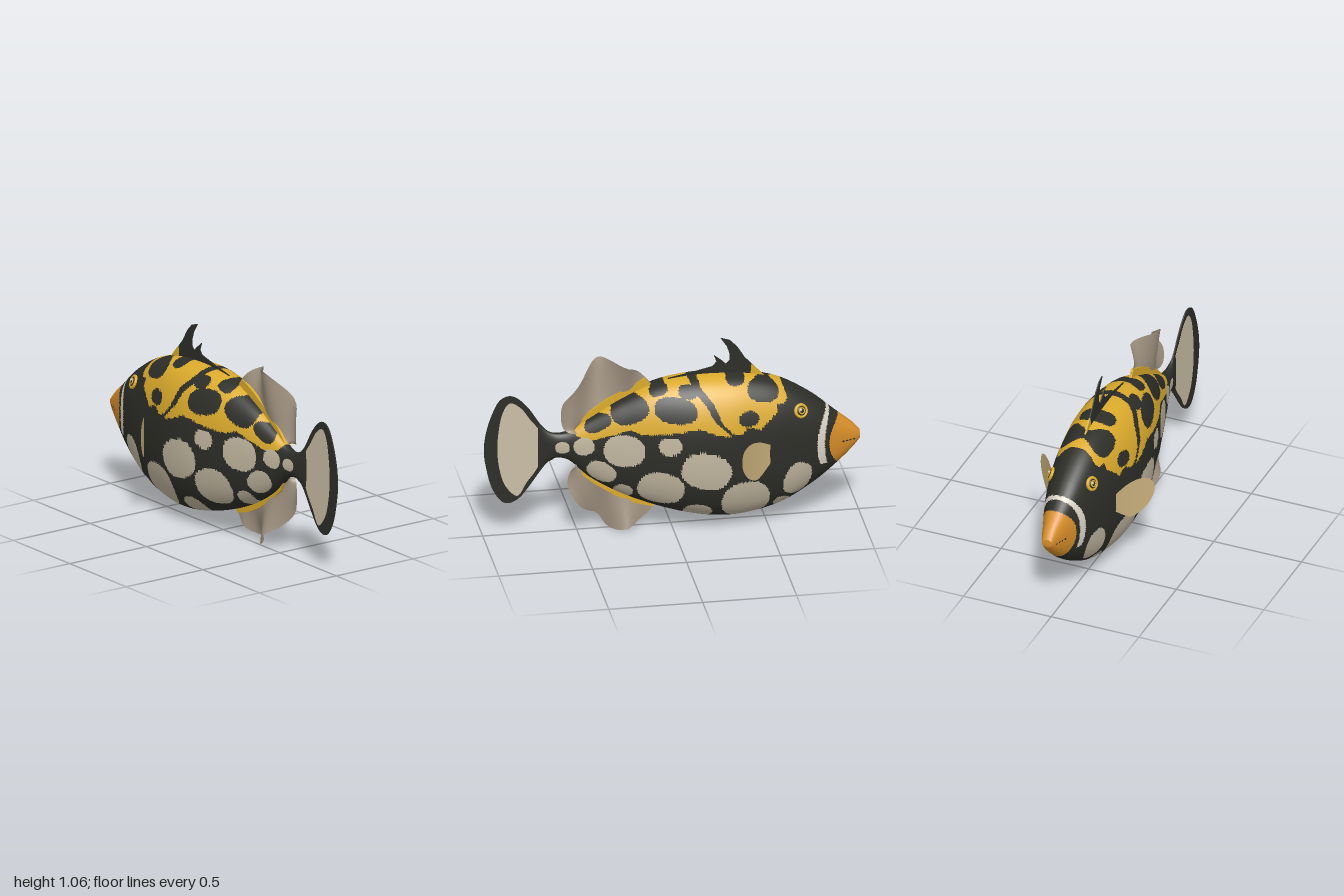
import * as THREE from 'three';

const MID = -0.025; // z of the body's middle plane
const mat = (name, color, side = THREE.FrontSide) => {
  const m = new THREE.MeshStandardMaterial({ color, side });
  m.name = name;
  return m;
};
const V = (p) => new THREE.Vector2(p[0], p[1]);

// Body stations: x, top, bottom, half width
const STATIONS = [
  [-1, 0.48, 0.435, 0.028], [-0.96, 0.525, 0.385, 0.045], [-0.87, 0.6, 0.3, 0.078], [-0.74, 0.71, 0.2, 0.125],
  [-0.58, 0.805, 0.11, 0.165], [-0.42, 0.85, 0.067, 0.19], [-0.27, 0.865, 0.058, 0.209], [-0.1, 0.864, 0.083, 0.207],
  [0.09, 0.835, 0.14, 0.17], [0.275, 0.755, 0.22, 0.118], [0.436, 0.66, 0.32, 0.072], [0.54, 0.597, 0.42, 0.043],
  [0.607, 0.583, 0.443, 0.03], [0.66, 0.6, 0.425, 0.02], [0.71, 0.645, 0.375, 0.006],
];
const rail = (k) => new THREE.SplineCurve(STATIONS.map((s) => new THREE.Vector2(s[0], s[k])));
const TOP = rail(1), BOTTOM = rail(2), WIDTH = rail(3);
const bodyPoint = (t, a) => {
  const top = TOP.getPoint(t), low = BOTTOM.getPoint(t).y, w = WIDTH.getPoint(t).y;
  const pw = (v) => Math.sign(v) * Math.abs(v) ** 0.87;
  return [top.x, (top.y + low) / 2 + pw(Math.sin(a)) * (top.y - low) / 2, MID + pw(Math.cos(a)) * w];
};

// Skin pattern: ellipses are x, y, rx, ry, tilt
const PALE = [
  [-0.65, 0.28, 0.075, 0.1, 0.3], [-0.57, 0.14, 0.045, 0.035, 0], [-0.37, 0.19, 0.13, 0.12, 0], [-0.155, 0.39, 0.135, 0.105, 0.35],
  [0.035, 0.54, 0.06, 0.05, 0], [0.27, 0.505, 0.105, 0.09, 0], [0.08, 0.285, 0.12, 0.1, 0.2], [-0.12, 0.125, 0.075, 0.055, 0.2],
  [0.385, 0.375, 0.08, 0.058, 0.6], [0.475, 0.52, 0.054, 0.048, -0.4], [0.585, 0.51, 0.038, 0.033, 0], [0.27, 0.255, 0.05, 0.045, 0.5],
];
const HOLES = [
  [-0.47, 0.79, 0.085, 0.05, 0.2], [-0.385, 0.665, 0.055, 0.04, 0], [-0.33, 0.855, 0.05, 0.028, 0], [-0.07, 0.815, 0.05, 0.03, 0],
  [0, 0.73, 0.11, 0.066, 0.1], [0.235, 0.72, 0.1, 0.062, -0.4], [0.4, 0.645, 0.075, 0.035, -0.5], [0.08, 0.82, 0.05, 0.022, -0.3],
];
const MOUTH = [-0.965, -0.945, -0.925, -0.905].map((x) => [x, 0.445, 0.007, 0.004, 0]);
const SADDLES = [
  [[-0.55, 0.9], [-0.6, 0.74], [-0.58, 0.715], [-0.54, 0.72], [-0.54, 0.68], [-0.48, 0.63], [-0.45, 0.6], [-0.38, 0.62],
    [-0.34, 0.585], [-0.29, 0.6], [-0.24, 0.66], [-0.2, 0.76], [-0.14, 0.83], [-0.12, 0.9]],
  [[-0.07, 0.9], [-0.1, 0.82], [-0.16, 0.75], [-0.2, 0.67], [-0.29, 0.58], [-0.23, 0.59], [-0.12, 0.635], [0.03, 0.61],
    [0.17, 0.6], [0.24, 0.625], [0.33, 0.59], [0.44, 0.555], [0.51, 0.575], [0.54, 0.62], [0.4, 0.72], [0.2, 0.9]],
];
const inEllipse = (x, y) => ([cx, cy, rx, ry, r]) => {
  const c = Math.cos(r), s = Math.sin(r), dx = x - cx, dy = y - cy;
  return Math.abs((dx * c + dy * s) / rx) ** 2.3 + Math.abs((dy * c - dx * s) / ry) ** 2.3 < 1;
};
const inPolygon = (x, y) => (poly) => poly.reduce((inside, [ax, ay], i) => {
  const [bx, by] = poly[(i + 1) % poly.length];
  return (ay > y) !== (by > y) && x < ax + (bx - ax) * (y - ay) / (by - ay) ? !inside : inside;
}, false);
// 0 dark, 1 yellow, 2 pale spot, 3 lips, 4 white band
const skin = (x, y) => {
  const hit = inEllipse(x, y), d = (y - 0.45) ** 2;
  if (x < -0.825 - 3 * d) return MOUTH.some(hit) ? 0 : 3;
  if (y > 0.34 && x > -0.8 - 1.1 * d && x < -0.757 - 1.6 * d) return 4;
  if (PALE.some(hit)) return 2;
  return SADDLES.some(inPolygon(x, y)) && !HOLES.some(hit) ? 1 : 0;
};

function bodyGeometry() {
  const N = 280, M = 160, pos = [], buckets = [[], [], [], [], []];
  for (let i = 0; i <= N; i++)
    for (let j = 0; j < M; j++) pos.push(...bodyPoint(i / N, (j / M) * Math.PI * 2));
  const add = (...f) => {
    const mean = (k) => f.reduce((s, v) => s + pos[v * 3 + k], 0) / 3;
    buckets[skin(mean(0), mean(1))].push(...f);
  };
  for (let i = 0; i < N; i++)
    for (let j = 0; j < M; j++) {
      const a = i * M + j, b = i * M + (j + 1) % M;
      add(a, a + M, b);
      add(b, a + M, b + M);
    }
  // snout cap
  const tip = pos.push(-1.003, 0.457, MID) / 3 - 1;
  for (let j = 0; j < M; j++) add(tip, j, (j + 1) % M);
  const g = new THREE.BufferGeometry();
  g.setAttribute('position', new THREE.Float32BufferAttribute(pos, 3));
  g.setIndex(buckets.flat());
  let start = 0;
  buckets.forEach((b, k) => { g.addGroup(start, b.length, k); start += b.length; });
  g.computeVertexNormals();
  return g;
}

// Ribbon between a base curve and an outer margin, waved sideways
function waveFin(base, margin, wave) {
  const A = new THREE.SplineCurve(base.map(V)), B = new THREE.SplineCurve(margin.map(V));
  const g = new THREE.PlaneGeometry(1, 1, 48, 10), p = g.attributes.position;
  for (let i = 0; i < p.count; i++) {
    const u = p.getX(i) + 0.5, v = p.getY(i) + 0.5;
    const q = A.getPoint(u).lerp(B.getPoint(u), v);
    p.setXYZ(i, q.x, q.y, MID + wave(q.x) * v);
  }
  g.computeVertexNormals();
  return g;
}

// Thin flat plate centred on the middle plane
function plate(points, depth, smooth = false) {
  let pts = points.map(V);
  if (smooth) pts = new THREE.SplineCurve([...pts, pts[0]]).getPoints(90).slice(0, -1);
  return new THREE.ExtrudeGeometry(new THREE.Shape(pts), { depth, bevelEnabled: false }).translate(0, 0, MID - depth / 2);
}

export function createModel() {
  const root = new THREE.Group();
  const dark = mat('charcoal', 0x2d2e28), yellow = mat('yellow', 0xdcab2c), pale = mat('paleSpot', 0xc2b7a0);
  const orange = mat('orange', 0xd68d29), white = mat('white', 0xdcd5c8), cream = mat('tailCream', 0xcabea6);
  const finGrey = mat('finGrey', 0xa39583, THREE.DoubleSide), tan = mat('pectoralTan', 0xc9b07c, THREE.DoubleSide);
  const add = (name, geo, material, parent = root) => {
    const m = new THREE.Mesh(geo, material);
    m.name = name;
    parent.add(m);
    return m;
  };

  add('body', bodyGeometry(), [dark, yellow, pale, orange, white]);

  // Tail fan with a pale centre, leaning slightly to one side
  const lean = (g) => {
    const p = g.attributes.position;
    for (let i = 0; i < p.count; i++) p.setZ(i, p.getZ(i) + Math.max(0, p.getX(i) - 0.68) * 0.04);
    return g;
  };
  add('tailFin', lean(plate([[0.62, 0.57], [0.66, 0.6], [0.7, 0.645], [0.755, 0.73], [0.81, 0.79], [0.86, 0.812], [0.915, 0.785],
    [0.96, 0.69], [0.988, 0.585], [0.995, 0.49], [0.982, 0.395], [0.955, 0.29], [0.91, 0.215], [0.865, 0.195], [0.81, 0.222],
    [0.755, 0.29], [0.7, 0.37], [0.66, 0.42], [0.62, 0.45]], 0.007, true)), dark);
  add('tailCentre', lean(plate([[0.69, 0.52], [0.7, 0.6], [0.75, 0.67], [0.8, 0.74], [0.86, 0.772], [0.9, 0.71], [0.92, 0.6],
    [0.925, 0.5], [0.915, 0.4], [0.885, 0.3], [0.82, 0.235], [0.77, 0.31], [0.72, 0.38], [0.695, 0.44]], 0.0095, true)), cream);

  // Spiny first dorsal fin
  add('spinyDorsalFin', plate([[-0.5, 0.82], [-0.44, 0.89], [-0.39, 0.945], [-0.35, 1.01], [-0.31, 1.05], [-0.262, 1.065],
    [-0.295, 1.015], [-0.31, 0.97], [-0.31, 0.935], [-0.29, 0.913], [-0.268, 0.935], [-0.225, 0.97], [-0.24, 0.93], [-0.22, 0.905],
    [-0.12, 0.882], [0.02, 0.855], [0, 0.82], [-0.3, 0.82]], 0.006), dark);
  add('spinyDorsalPatch', plate([[-0.5, 0.825], [-0.44, 0.892], [-0.425, 0.905], [-0.42, 0.84]], 0.008), yellow);

  // Soft dorsal and anal fins with yellow roots
  const wave = (x) => 0.055 * Math.sin((x - 0.31) * 2 * Math.PI / 0.29) * Math.min(1, Math.max(0, (x - 0.12) / 0.12));
  add('softDorsalFin', waveFin([[0.1, 0.82], [0.2, 0.785], [0.3, 0.735], [0.4, 0.675], [0.52, 0.6]],
    [[0.115, 0.84], [0.14, 0.87], [0.21, 0.935], [0.33, 0.977], [0.4, 0.975], [0.48, 0.89], [0.57, 0.78], [0.59, 0.69], [0.575, 0.61], [0.51, 0.595]], wave), finGrey);
  add('analFin', waveFin([[0.08, 0.145], [0.2, 0.19], [0.3, 0.24], [0.4, 0.305], [0.52, 0.41]],
    [[0.09, 0.14], [0.125, 0.085], [0.2, 0.035], [0.3, 0.006], [0.345, 0.02], [0.385, 0.075], [0.46, 0.13], [0.53, 0.22], [0.56, 0.3], [0.545, 0.38], [0.51, 0.41]], wave), finGrey);
  add('softDorsalRoot', plate([[0.11, 0.825], [0.14, 0.868], [0.24, 0.82], [0.35, 0.755], [0.45, 0.685], [0.52, 0.61],
    [0.48, 0.61], [0.35, 0.69], [0.2, 0.77]], 0.014), yellow);
  add('analRoot', plate([[0.08, 0.155], [0.1, 0.12], [0.2, 0.15], [0.3, 0.2], [0.41, 0.275], [0.48, 0.335], [0.52, 0.42],
    [0.46, 0.37], [0.35, 0.29], [0.2, 0.21]], 0.014), yellow);

  // Paired pectoral fins and eyes
  const eyeT = 2.95 + 0.48;
  for (const side of [1, -1]) {
    const label = side > 0 ? 'left' : 'right';
    const fin = waveFin([[-0.52, 0.425], [-0.515, 0.45], [-0.515, 0.475], [-0.52, 0.5]],
      [[-0.47, 0.375], [-0.42, 0.34], [-0.37, 0.365], [-0.335, 0.42], [-0.322, 0.48], [-0.335, 0.54], [-0.38, 0.562], [-0.44, 0.545], [-0.5, 0.505]], () => 0);
    const p = fin.attributes.position;
    for (let i = 0; i < p.count; i++) {
      const s = p.getX(i) + 0.52;
      p.setZ(i, MID + side * (0.165 + 0.55 * s + 1.3 * s * s));
    }
    fin.computeVertexNormals();
    add(label + 'PectoralFin', fin, tan);

    const eye = new THREE.Group();
    eye.name = label + 'Eye';
    const spot = bodyPoint(eyeT / (STATIONS.length - 1), 0.66);
    eye.position.set(-0.67, 0.665, MID + side * (spot[2] - MID));
    eye.lookAt(eye.position.clone().add(new THREE.Vector3(-0.35, 0.42, side)));
    root.add(eye);
    add('iris', new THREE.TorusGeometry(0.031, 0.009, 10, 32), yellow, eye);
    add('pupil', new THREE.SphereGeometry(0.028, 24, 16).scale(1, 1, 0.5), dark, eye);
    add('innerRing', new THREE.TorusGeometry(0.015, 0.004, 8, 24).translate(0, 0, 0.011), yellow, eye);
    add('glint', new THREE.SphereGeometry(0.007, 12, 8).translate(-0.006, 0.006, 0.013), white, eye);
  }
  return root;
}
